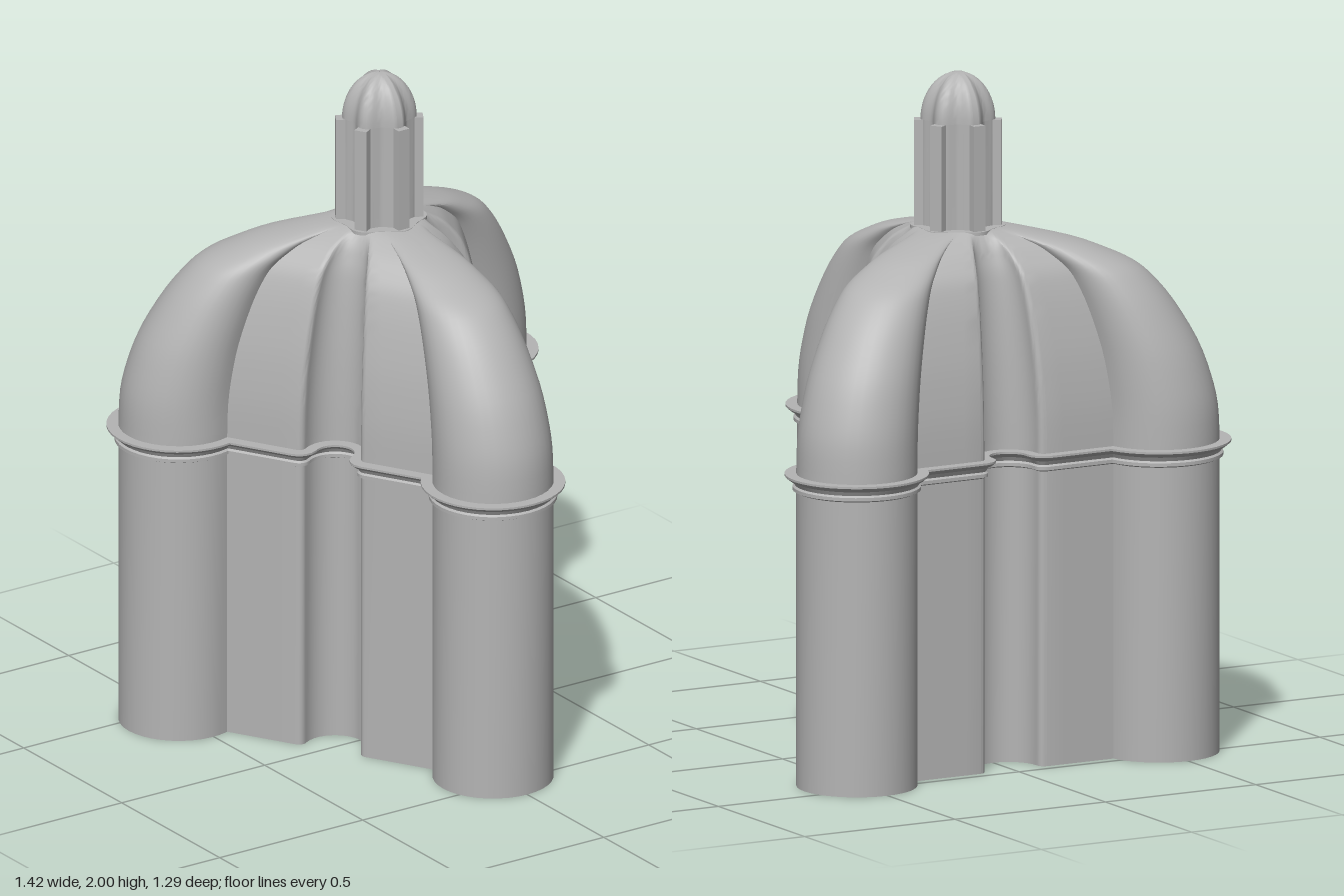
import * as THREE from 'three';
import { toCreasedNormals } from 'three/addons/utils/BufferGeometryUtils.js';

const CZ = -0.145, LOBE = 0.58, ARC = 14, S = Math.sqrt(3) / 2;

// Half of one sector, from lobe tip to notch bottom, grown outward by o; [forward, sideways]
function halfSector(o) {
  const R = 0.175 + o, d = 0.325 + o, notch = 0.09 - o, cr = Math.max(0.02 + o, 0.001);
  const toLobe = (t, e) => [e * 0.5 + t * S, e * S - t * 0.5];
  const tj = LOBE * S - Math.sqrt(R * R - (d - LOBE / 2) ** 2);
  const [ju, jv] = toLobe(tj, d);
  const a1 = Math.atan2(jv, ju - LOBE);
  const pts = [];
  for (let i = 0; i <= ARC; i++) {
    const a = a1 * i / ARC;
    pts.push([LOBE + R * Math.cos(a), R * Math.sin(a)]);
  }
  const ct = notch + cr, cd = d - cr;
  for (let i = 1; i < 4; i++) pts.push(toLobe(tj + (ct - tj) * i / 4, d));
  for (let i = 0; i <= 4; i++) {
    const a = Math.PI / 2 * i / 4;
    pts.push(toLobe(ct - cr * Math.sin(a), cd + cr * Math.cos(a)));
  }
  for (let i = 0; i <= 8; i++) {
    const a = Math.PI / 2 * i / 8;
    pts.push(toLobe(notch * Math.cos(a), 0.295 - notch * Math.sin(a)));
  }
  return pts;
}

// Full plan ring at height y; w blends from the trefoil plan (1) to the small crown circle (0)
function planRing(o, y, w = 1) {
  const half = halfSector(o), n = half.length - 1, q = 0.124 + o;
  const blended = half.map(([u, v], i) => {
    const a = Math.PI / 6 * (i <= ARC ? i / ARC : 1 + (i - ARC) / (n - ARC));
    return [u * w + q * Math.cos(a) * (1 - w), v * w + q * Math.sin(a) * (1 - w)];
  });
  const sector = [...blended.slice(1).reverse().map(([u, v]) => [u, -v]), ...blended.slice(0, -1)];
  const ring = [];
  for (let k = 0; k < 3; k++) {
    const c = Math.cos(k * Math.PI * 2 / 3), s = Math.sin(k * Math.PI * 2 / 3);
    for (const [u, v] of sector) ring.push([v * c + u * s, y, u * c - v * s + CZ]);
  }
  return ring;
}

// Six-fluted ring for the lantern
function fluteRing(r, y, depth = 0.1) {
  return Array.from({ length: 72 }, (_, i) => {
    const a = i / 72 * Math.PI * 2, k = r * (1 - depth + depth * Math.cos(6 * a));
    return [k * Math.sin(a), y, k * Math.cos(a) + CZ];
  });
}

function loft(rings, crease = 0.5) {
  const n = rings[0].length, idx = [];
  for (let j = 0; j < rings.length - 1; j++) for (let i = 0; i < n; i++) {
    const a = j * n + i, b = j * n + (i + 1) % n;
    idx.push(a, b, b + n, a, b + n, a + n);
  }
  const g = new THREE.BufferGeometry();
  g.setAttribute('position', new THREE.Float32BufferAttribute(rings.flat(2), 3));
  g.setIndex(idx);
  return toCreasedNormals(g, crease);
}

export function createModel() {
  const group = new THREE.Group();
  const stone = new THREE.MeshStandardMaterial({ color: 0xb4b4b4, side: THREE.DoubleSide });
  stone.name = 'grey stone';
  const add = (name, geo) => {
    const m = new THREE.Mesh(geo, stone);
    m.name = name;
    group.add(m);
    return m;
  };

  // Hollow trefoil walls, open below
  add('walls', loft([planRing(-0.02, 0.92), planRing(-0.02, 0), planRing(0, 0), planRing(0, 0.92)]));

  // Stepped cornice following the plan
  const steps = [[0, 0.868], [0.011, 0.873], [0.011, 0.883], [0.005, 0.888], [0.012, 0.9],
    [0.022, 0.904], [0.034, 0.914], [0.034, 0.92], [0, 0.92]];
  add('cornice', loft(steps.map(([o, y]) => planRing(o, y))));

  // Ribbed dome shell: inside going down, outside going up
  const curve = new THREE.SplineCurve([[1, 0.92], [0.992, 1.02], [0.96, 1.11], [0.9, 1.21], [0.79, 1.325],
    [0.69, 1.4], [0.61, 1.44], [0.5, 1.472], [0.35, 1.506], [0.12, 1.538], [0, 1.55]]
    .map(([w, y]) => new THREE.Vector2(w, y)));
  const section = curve.getPoints(30);
  const inner = [...section].reverse().map(p => planRing(-0.02, p.y - 0.02 * (1 - p.x), p.x));
  add('dome', loft([...inner, ...section.map(p => planRing(0, p.y, p.x))]));

  // Lantern: collar, fluted drum, six posts and fluted cap
  add('lanternCollar', loft([fluteRing(0.1, 1.535), fluteRing(0.138, 1.54, 0.06),
    fluteRing(0.138, 1.55, 0.06), fluteRing(0.09, 1.55)]));
  add('lanternDrum', loft([fluteRing(0.108, 1.54), fluteRing(0.108, 1.86)], 0.7));
  for (let k = 0; k < 6; k++) {
    const a = k * Math.PI / 3;
    const post = add('lanternPost', new THREE.BoxGeometry(0.038, 0.315, 0.035));
    post.position.set(0.109 * Math.sin(a), 1.7025, 0.109 * Math.cos(a) + CZ);
    post.rotation.y = a;
  }
  const cap = [];
  for (let i = 0; i <= 14; i++) {
    const a = Math.PI / 2 * i / 14;
    cap.push(fluteRing(Math.max(0.108 * Math.cos(a), 0.0005), 1.86 + 0.14 * Math.sin(a)));
  }
  add('lanternCap', loft(cap, 0.8));
  return group;
}
